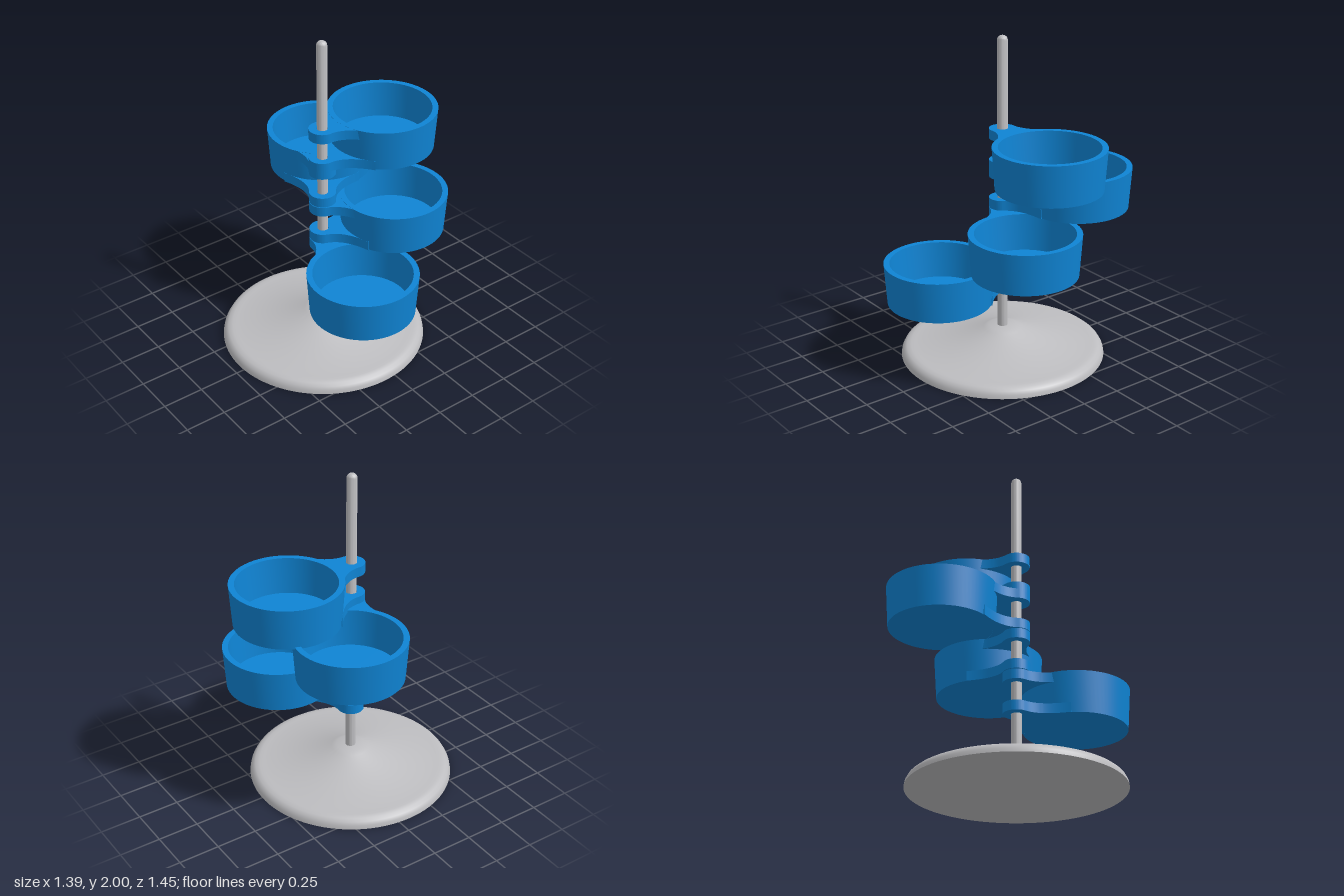
import * as THREE from 'three';
import { toCreasedNormals } from 'three/addons/utils/BufferGeometryUtils.js';

const POLE_X = -0.075, POLE_Z = -0.037, REACH = 0.44, HEIGHT = 0.25;

const lathe = (points, segments) => toCreasedNormals(
  new THREE.LatheGeometry(points.map(([r, y]) => new THREE.Vector2(r, y)), segments), 0.6);

// Arm outline: a collar around the pole that flares out to meet the cup wall
function armGeometry() {
  const s = new THREE.Shape();
  s.moveTo(0, -0.08);
  s.quadraticCurveTo(0.11, -0.075, 0.215, -0.225);
  s.absarc(REACH, 0, 0.3, -0.75 * Math.PI, 0.75 * Math.PI, true);
  s.lineTo(0.215, 0.225);
  s.quadraticCurveTo(0.11, 0.075, 0, 0.08);
  s.absarc(0, 0, 0.08, Math.PI / 2, Math.PI * 1.5, false);
  const hole = new THREE.Path();
  hole.absarc(0, 0, 0.033, 0, Math.PI * 2, true);
  s.holes.push(hole);
  const g = new THREE.ExtrudeGeometry(s, { depth: 0.06, bevelEnabled: false, curveSegments: 24 });
  return toCreasedNormals(g.rotateX(-Math.PI / 2), 0.6);
}

export function createModel() {
  const blue = new THREE.MeshStandardMaterial({ color: 0x0f84d4 });
  blue.name = 'blue plastic';
  const grey = new THREE.MeshStandardMaterial({ color: 0xbdbdc0 });
  grey.name = 'grey metal';

  const model = new THREE.Group();
  model.name = 'swivelCupStand';
  const add = (parent, name, geometry, material, x, y, z) => {
    const mesh = new THREE.Mesh(geometry, material);
    mesh.name = name;
    mesh.position.set(x, y, z);
    parent.add(mesh);
  };

  // Base: rounded rim, then a concave rise to a small flat hub
  const baseProfile = [[0, 0], [0.625, 0], [0.621, 0.022], [0.61, 0.042], [0.592, 0.056], [0.565, 0.062]];
  const slope = new THREE.QuadraticBezierCurve(
    new THREE.Vector2(0.54, 0.063), new THREE.Vector2(0.3, 0.085), new THREE.Vector2(0.085, 0.178));
  slope.getPoints(14).forEach(p => baseProfile.push([p.x, p.y]));
  baseProfile.push([0, 0.178]);
  add(model, 'base', lathe(baseProfile, 96), grey, POLE_X, 0, POLE_Z);

  // Pole with a rounded tip
  const poleProfile = [[0, 0.1], [0.031, 0.1], [0.031, 1.972]];
  for (let i = 1; i <= 6; i++) {
    const a = i * Math.PI / 12;
    poleProfile.push([0.031 * Math.cos(a), 1.972 + 0.028 * Math.sin(a)]);
  }
  add(model, 'pole', lathe(poleProfile, 32), grey, POLE_X, 0, POLE_Z);

  // Four tapered open cups, each on two arms, swung around the pole
  const cup = lathe([[0, 0], [0.311, 0], [0.328, HEIGHT], [0.293, HEIGHT], [0.278, 0.03], [0, 0.03]], 80);
  const arm = armGeometry();
  const cups = [ // bottom height, centre x, centre z
    [0.45, -0.11, 0.40],
    [0.705, 0.34, 0.115],
    [0.96, 0.18, -0.40],
    [1.197, 0.365, -0.037],
  ];
  cups.forEach(([y, x, z], i) => {
    const holder = new THREE.Group();
    holder.name = 'cupHolder' + (i + 1);
    holder.position.set(POLE_X, y, POLE_Z);
    holder.rotation.y = Math.atan2(-(z - POLE_Z), x - POLE_X);
    add(holder, 'cup', cup, blue, REACH, 0, 0);
    add(holder, 'lowerArm', arm, blue, 0, -0.002, 0);
    add(holder, 'upperArm', arm, blue, 0, HEIGHT - 0.061, 0);
    model.add(holder);
  });
  return model;
}
